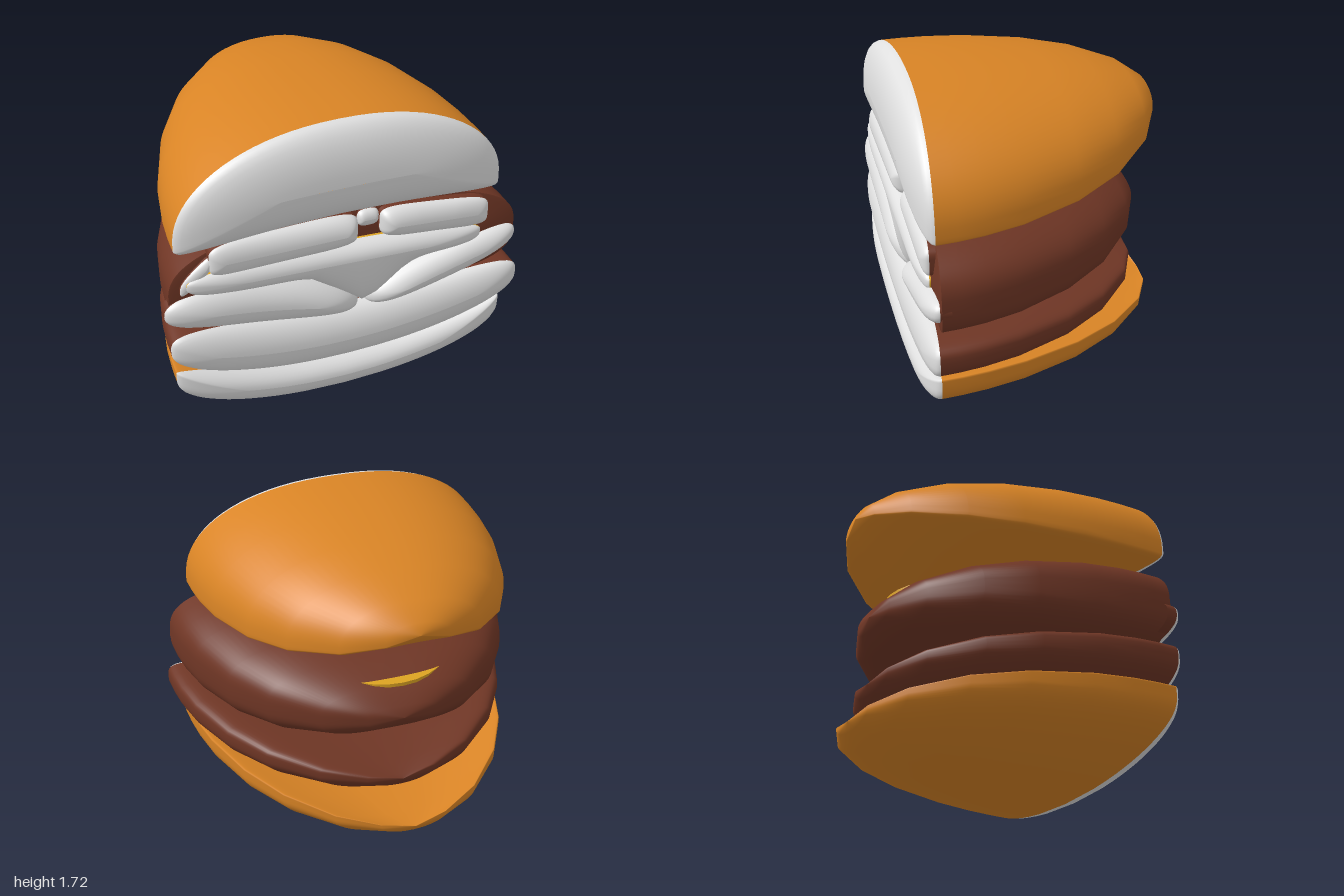
import * as THREE from 'three';

const mat = (name, color) => {
  const m = new THREE.MeshStandardMaterial({ color, side: THREE.DoubleSide });
  m.name = name;
  return m;
};

const N = 80;

// Curved centre line of a part, bent by a slope and a sag
const midline = ({ cx, cy, slope = 0, sag = 0 }, x) => cy + slope * (x - cx) + sag * (x - cx) ** 2;

// Rounded outline around the centre line, with separate upper and lower halves
// and an optional drip hanging from the lower edge
function outline(s) {
  const { cx, w, up, down = up, n = 3, nDown = n, drip = 0 } = s;
  const ring = [];
  for (let i = 0; i < N; i++) {
    const a = (i / N) * Math.PI * 2, c = Math.cos(a), sn = Math.sin(a);
    const e = 2 / (sn < 0 ? nDown : n);
    const x = cx + w * Math.sign(c) * Math.abs(c) ** e;
    const h = Math.abs(sn) ** e;
    const hang = down + drip * Math.exp(-(((x - 0.1) / 0.2) ** 2));
    ring.push({ x, y: midline(s, x) + h * (sn < 0 ? -hang : up) });
  }
  return ring;
}

// Skin a list of rings (arrays of [x, y, z])
function skin(rings, flip) {
  const index = [];
  for (let j = 0; j < rings.length - 1; j++) {
    for (let i = 0; i < N; i++) {
      const a = j * N + i, b = j * N + ((i + 1) % N), c = a + N, d = b + N;
      if (flip) index.push(a, c, b, b, c, d);
      else index.push(a, b, c, b, d, c);
    }
  }
  const g = new THREE.BufferGeometry();
  g.setAttribute('position', new THREE.Float32BufferAttribute(rings.flat(2), 3));
  g.setIndex(index);
  g.computeVertexNormals();
  return g;
}

// The front rim is set back in the middle and comes forward at the sides
const rimZ = (x, base) => base + 0.065 * x * x;

// Rounded body tapering backwards to a tip
function taperedBody(ring, base, [tx, ty, tz]) {
  const rings = [0, 0.08, 0.18, 0.33, 0.555, 0.74, 0.9, 0.98, 1].map((t) => {
    const f = Math.sqrt(1 - t * t);
    return ring.map((p) => [
      tx + (p.x - tx) * f, ty + (p.y - ty) * f,
      THREE.MathUtils.lerp(rimZ(p.x, base), tz, t)]);
  });
  return skin(rings, true);
}

// Short straight side wall for the small front pieces
function skirt(ring, base) {
  return skin([0, 0.06].map((d) => ring.map((p) => [p.x, p.y, rimZ(p.x, base) - d])), true);
}

// Pillow-shaped front that closes on a curved spine line
function pillow(ring, s) {
  const { cx, up, down = up, base, front, spine = 0.5 } = s;
  const rings = [];
  for (let j = 0; j <= 8; j++) {
    const a = (j / 8) * Math.PI / 2;
    const f = j === 8 ? 0 : Math.cos(a);
    rings.push(ring.map((p) => {
      const x = cx + (p.x - cx) * (spine + (1 - spine) * f);
      const ridge = (px) => midline(s, px) + 0.4 * (up - down);
      const z0 = rimZ(p.x, base);
      return [x, ridge(x) + (p.y - ridge(p.x)) * f, z0 + Math.max(front - z0, 0.01) * Math.sin(a)];
    }));
  }
  return skin(rings, false);
}

export function createModel() {
  const bun = mat('bun crust', 0xd98425);
  const meat = mat('brown meat', 0x6f3625);
  const cheese = mat('yellow cheese', 0xdca322);
  const white = mat('cut face white', 0xe0e0e0);
  const model = new THREE.Group();
  model.name = 'burger';

  const add = (name, geometry, material) => {
    const mesh = new THREE.Mesh(geometry, material);
    mesh.name = name;
    model.add(mesh);
  };

  // Large layer: coloured body behind, pillow face in front
  const layer = (name, side, face, tip, s) => {
    const ring = outline(s);
    add(name + 'Body', taperedBody(ring, s.base, tip), side);
    add(name + 'Front', pillow(ring, s), face);
  };

  // Small piece: coloured edge with a white pillow face
  const piece = (name, side, s) => {
    const ring = outline(s);
    add(name + 'Edge', skirt(ring, s.base), side);
    add(name + 'Face', pillow(ring, s), white);
  };

  // Buns and patties
  layer('topBun', bun, white, [-0.03, 1.42, -0.755],
    { cx: -0.04, w: 0.89, cy: 1.24, sag: -0.05, up: 0.482, down: 0.07, n: 2.3, nDown: 5, base: 0.6, front: 0.74, spine: 0.4 });
  layer('bottomBun', bun, white, [-0.03, 0.22, -0.755],
    { cx: -0.02, w: 0.94, cy: 0.2, sag: 0.2, up: 0.03, down: 0.197, n: 4, base: 0.6, front: 0.73, spine: 0.6 });
  layer('lowerPatty', meat, white, [0, 0.465, -0.635],
    { cx: 0.01, w: 0.99, cy: 0.385, sag: 0.17, up: 0.172, base: 0.61, front: 0.73, spine: 0.75 });
  layer('upperPatty', meat, meat, [0, 0.86, -0.635],
    { cx: 0, w: 0.97, cy: 0.85, up: 0.315, down: 0.29, base: 0.59, front: 0.62, spine: 0.6 });

  // Puffy lobes of the upper patty
  piece('meatLobeRight', meat,
    { cx: -0.46, w: 0.54, cy: 0.72, slope: -0.2, sag: -0.15, up: 0.13, n: 2.5, base: 0.6, front: 0.73 });
  piece('meatLobeLeft', meat,
    { cx: 0.54, w: 0.43, cy: 0.705, slope: 0.3, up: 0.105, n: 2.5, base: 0.6, front: 0.73 });

  // Melted cheese with its drip
  piece('cheeseDrip', cheese,
    { cx: -0.06, w: 0.82, cy: 0.92, slope: -0.04, up: 0.07, down: 0.1, drip: 0.24, base: 0.63, front: 0.72, spine: 0.6 });

  // Fillings under the top bun
  piece('fillingRight', meat,
    { cx: -0.35, w: 0.405, cy: 1.065, up: 0.1, n: 5, base: 0.63, front: 0.71, spine: 0.8 });
  piece('fillingLeft', meat,
    { cx: 0.485, w: 0.305, cy: 1.04, slope: -0.08, up: 0.093, n: 5, base: 0.63, front: 0.71, spine: 0.75 });
  piece('fillingMiddle', meat,
    { cx: 0.12, w: 0.06, cy: 1.1, up: 0.05, base: 0.61, front: 0.65 });
  piece('fillingEnd', meat,
    { cx: -0.82, w: 0.09, cy: 0.99, slope: 0.8, up: 0.05, base: 0.61, front: 0.68 });

  // Thin cheese slice showing at the back of the upper patty
  const slice = new THREE.CylinderGeometry(1, 1, 0.02, 24, 1, false, Math.PI / 2, Math.PI);
  slice.scale(0.6, 1, 1.08);
  slice.translate(-0.03, 1.0, 0.55);
  add('cheeseSlice', slice, cheese);

  return model;
}
